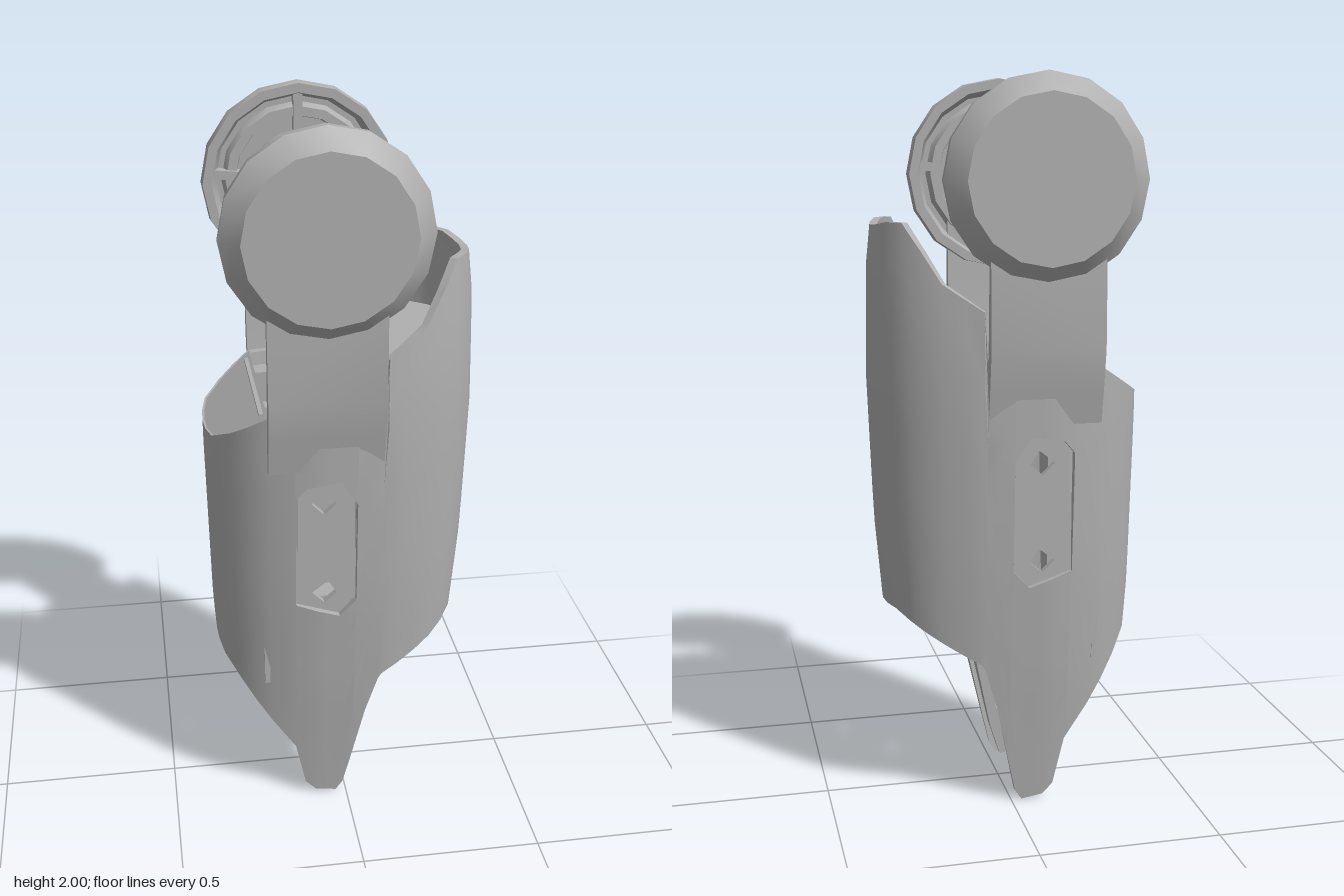
import * as THREE from 'three';
import { mergeGeometries, toCreasedNormals } from 'three/addons/utils/BufferGeometryUtils.js';

// piecewise linear lookup in [[key, value], ...]
function look(table, k) {
  if (k <= table[0][0]) return table[0][1];
  for (let i = 1; i < table.length; i++) {
    const [a, va] = table[i - 1], [b, vb] = table[i];
    if (k <= b) return va + (vb - va) * (k - a) / (b - a);
  }
  return table[table.length - 1][1];
}

// shell plan: column x -> share of the half width
const PLAN = [[-0.37, 0], [-0.367, 0.22], [-0.355, 0.46], [-0.31, 0.67], [-0.265, 0.8], [-0.22, 0.89], [-0.15, 0.96],
  [-0.09, 1], [0.015, 1], [0.095, 0.97], [0.14, 0.93], [0.2, 0.85], [0.25, 0.76], [0.3, 0.61], [0.34, 0.42], [0.363, 0.2], [0.37, 0]];
const WIDTH = [[0, 0.172], [0.2, 0.198], [0.4, 0.225], [0.7, 0.258], [1, 0.276], [1.2, 0.284], [1.4, 0.28], [1.62, 0.255]];
const BACK = [[0.4, 0.94], [0.6, 0.975], [1.1, 1]];
const FRONT = [[0.55, 0.89], [0.8, 0.95], [1.2, 0.99], [1.5, 0.975], [1.62, 0.94]];
const BOTTOM = [[-0.37, 0.49], [-0.355, 0.47], [-0.15, 0.18], [-0.12, 0.04], [-0.09, 0.01], [-0.03, 0], [-0.01, 0.03],
  [0.015, 0.14], [0.07, 0.39], [0.095, 0.43], [0.2, 0.49], [0.34, 0.57]];
const TOP = [[-0.37, 1.15], [-0.22, 1.25], [0.05, 1.25], [0.085, 1.2], [0.095, 1.4], [0.14, 1.43], [0.2, 1.47],
  [0.25, 1.55], [0.3, 1.622], [0.34, 1.622], [0.37, 1.61]];
const SLOT_LOW = [[-0.15, 0.69], [-0.03, 0.65], [0.015, 0.7]];
const SLOT_HIGH = [[-0.15, 1.02], [-0.12, 1.055], [-0.03, 1.07], [0.015, 1]];
const COLUMNS = [-0.37, -0.367, -0.355, -0.335, -0.31, -0.265, -0.22, -0.15, -0.12, -0.09, -0.06, -0.03, -0.01, 0.015, 0.05,
  0.085, 0.095, 0.14, 0.17, 0.2, 0.25, 0.28, 0.3, 0.32, 0.34, 0.353, 0.363, 0.37];
const ROWS = 10;

// point on the shell; t is the wall thickness inwards
function shellPoint(x, y, t = 0) {
  const s = look(x < 0 ? BACK : FRONT, y);
  const px = x * (1 + (s - 1) * (x / 0.37) ** 2);
  const z = look(PLAN, x) * look(WIDTH, y);
  return [px * (1 - t / 0.37), y, z * (1 - t / 0.27)];
}

// surface through a grid of points
function grid(rows) {
  const p = [];
  for (let i = 0; i + 1 < rows.length; i++) {
    for (let j = 0; j + 1 < rows[i].length; j++) {
      const a = rows[i][j], b = rows[i + 1][j], c = rows[i + 1][j + 1], d = rows[i][j + 1];
      p.push(...a, ...b, ...c, ...a, ...c, ...d);
    }
  }
  const g = new THREE.BufferGeometry();
  g.setAttribute('position', new THREE.Float32BufferAttribute(p, 3));
  return g;
}

function bare(geo) {
  const g = geo.index ? geo.toNonIndexed() : geo.clone();
  g.deleteAttribute('uv');
  g.deleteAttribute('normal');
  g.clearGroups();
  return g;
}

// copy reflected in z, with the corner order turned round
function mirrored(g) {
  const a = g.attributes.position.array, p = [];
  for (let i = 0; i < a.length; i += 9) {
    for (const k of [0, 6, 3]) p.push(a[i + k], a[i + k + 1], -a[i + k + 2]);
  }
  const m = new THREE.BufferGeometry();
  m.setAttribute('position', new THREE.Float32BufferAttribute(p, 3));
  return m;
}

const vectors = (list) => list.map(([x, y]) => new THREE.Vector2(x, y));

function plate(outline, holes, z, depth) {
  const s = new THREE.Shape(vectors(outline));
  for (const h of holes) s.holes.push(new THREE.Path(vectors(h)));
  return new THREE.ExtrudeGeometry(s, { depth, bevelEnabled: false }).translate(0, 0, z);
}

function box(x0, x1, y0, y1, z0, z1) {
  return new THREE.BoxGeometry(x1 - x0, y1 - y0, z1 - z0).translate((x0 + x1) / 2, (y0 + y1) / 2, (z0 + z1) / 2);
}

export function createModel() {
  const group = new THREE.Group();
  const grey = new THREE.MeshStandardMaterial({ color: 0xb0b0b0, side: THREE.DoubleSide });
  grey.name = 'plain grey';

  function part(name, geos, both = true, crease = 0.55) {
    const list = geos.map(bare);
    if (both) list.push(...list.map(mirrored));
    const mesh = new THREE.Mesh(toCreasedNormals(mergeGeometries(list), crease), grey);
    mesh.name = name;
    group.add(mesh);
  }

  // curved outer and inner walls, open at the side slots, closed by rims
  const wall = 0.022, sheets = [];
  const column = (x, lo, hi, t) => Array.from({ length: ROWS + 1 }, (_, i) => shellPoint(x, lo + (hi - lo) * i / ROWS, t));
  for (let i = 0; i + 1 < COLUMNS.length; i++) {
    const pair = [COLUMNS[i], COLUMNS[i + 1]];
    const inSlot = pair[0] >= -0.15 && pair[1] <= 0.015;
    const spans = inSlot ? [[BOTTOM, SLOT_LOW], [SLOT_HIGH, TOP]] : [[BOTTOM, TOP]];
    for (const [lo, hi] of spans) {
      const strip = (t) => pair.map((x) => column(x, look(lo, x), look(hi, x), t));
      sheets.push(grid(strip(0)), grid(strip(wall).reverse()));
    }
  }
  const rim = (table) => [0, wall].map((t) => COLUMNS.map((x) => shellPoint(x, look(table, x), t)));
  sheets.push(grid(rim(BOTTOM)), grid(rim(TOP).reverse()));
  part('shinShell', sheets);

  // recessed slots with two diamond holes each
  const slotXs = COLUMNS.filter((x) => x >= -0.15 && x <= 0.015);
  const loop = [...slotXs.map((x) => [x, look(SLOT_LOW, x)]), ...slotXs.slice().reverse().map((x) => [x, look(SLOT_HIGH, x)])];
  const closed = [...loop, loop[0]];
  const diamond = (x, y, r) => [[x - r, y], [x, y - r], [x + r, y - r * 0.1], [x + r * 0.3, y + r]];
  part('slotRecess', [
    grid([closed.map(([x, y]) => shellPoint(x, y)), closed.map(([x, y]) => [x, y, 0.235])]),
    plate(loop, [diamond(-0.07, 0.99, 0.034), diamond(-0.07, 0.72, 0.034)], 0.215, 0.02),
  ]);

  // ribbed inner frames that thicken the lower prongs
  const frame = plate(
    [[-0.115, 0.06], [-0.085, 0.01], [-0.035, 0.005], [-0.005, 0.1], [0.06, 0.42], [0.08, 0.6], [0.08, 1.12], [-0.22, 1.12], [-0.22, 0.42], [-0.14, 0.2]],
    [
      [[-0.09, 0.07], [-0.05, 0.07], [-0.035, 0.12], [-0.1, 0.12]],
      [[-0.11, 0.15], [-0.075, 0.15], [-0.075, 0.22], [-0.125, 0.22]],
      [[-0.055, 0.15], [-0.025, 0.15], [-0.01, 0.22], [-0.055, 0.22]],
      [[-0.13, 0.25], [-0.08, 0.25], [-0.08, 0.44], [-0.185, 0.44], [-0.185, 0.38]],
      [[-0.06, 0.25], [-0.01, 0.25], [0.035, 0.44], [-0.06, 0.44]],
      [[-0.18, 0.49], [0.045, 0.49], [0.045, 1.07], [-0.18, 1.07]],
    ], 0, 1);
  const fp = frame.attributes.position;
  for (let i = 0; i < fp.count; i++) fp.setZ(i, fp.getZ(i) < 0.5 ? 0.13 : look(WIDTH, fp.getY(i)) * 0.92 - 0.01);
  part('innerFrame', [frame], true, 0.3);
  part('innerPad', [box(-0.22, 0.035, 1.1, 1.21, 0.175, 0.243)]);

  // decks and bulkheads closing the back and front of the shell
  const bridge = (xs, height) => grid(xs.map((x) => {
    const [px, y, z] = shellPoint(x, height(x), 0.006);
    return [[px, y, -z], [px, y, z]];
  }));
  const backXs = COLUMNS.filter((x) => x <= -0.22), frontXs = COLUMNS.filter((x) => x >= 0.095 && x <= 0.363);
  part('backDeck', [bridge(backXs, (x) => look(TOP, x)), bridge(backXs, () => 0.49)], false);
  part('backBulkhead', [box(-0.235, -0.22, 0.42, 1.245, -0.205, 0.205)], false);
  part('frontDeck', [bridge(frontXs, () => 1.395)], false);
  part('frontBulkhead', [box(0.095, 0.11, 1.0, 1.395, -0.245, 0.245)], false);

  // straps rising from the shell sides to the discs
  const strap = plate([[-0.27, 1.1], [-0.288, 1.2], [-0.305, 1.3], [-0.3, 1.6], [-0.282, 1.6], [-0.275, 1.35], [-0.24, 1.1]], [], 0, 0.305)
    .rotateY(Math.PI / 2).translate(-0.22, 0, 0);
  part('strap', [strap]);

  // knee discs: bevelled outside, cupped and stepped inside
  const profile = [[0, 0.285], [0.095, 0.285], [0.1, 0.268], [0.125, 0.268], [0.13, 0.3], [0.17, 0.3], [0.175, 0.278],
    [0.2, 0.278], [0.21, 0.3], [0.225, 0.3], [0.24, 0.253], [0.265, 0.253], [0.268, 0.29], [0.217, 0.34], [0, 0.34]];
  const disc = new THREE.LatheGeometry(vectors(profile), 16).rotateX(Math.PI / 2).translate(-0.065, 1.733, 0);
  part('kneeDisc', [disc], true, 0.5);
  // small ribs inside each disc
  const ribs = [0.1, Math.PI - 0.1, Math.PI / 2].map((a) => new THREE.BoxGeometry(0.1, 0.025, 0.035)
    .translate(0.185, 0, 0.283).rotateZ(a).translate(-0.065, 1.733, 0));
  part('discRib', ribs);

  return group;
}
